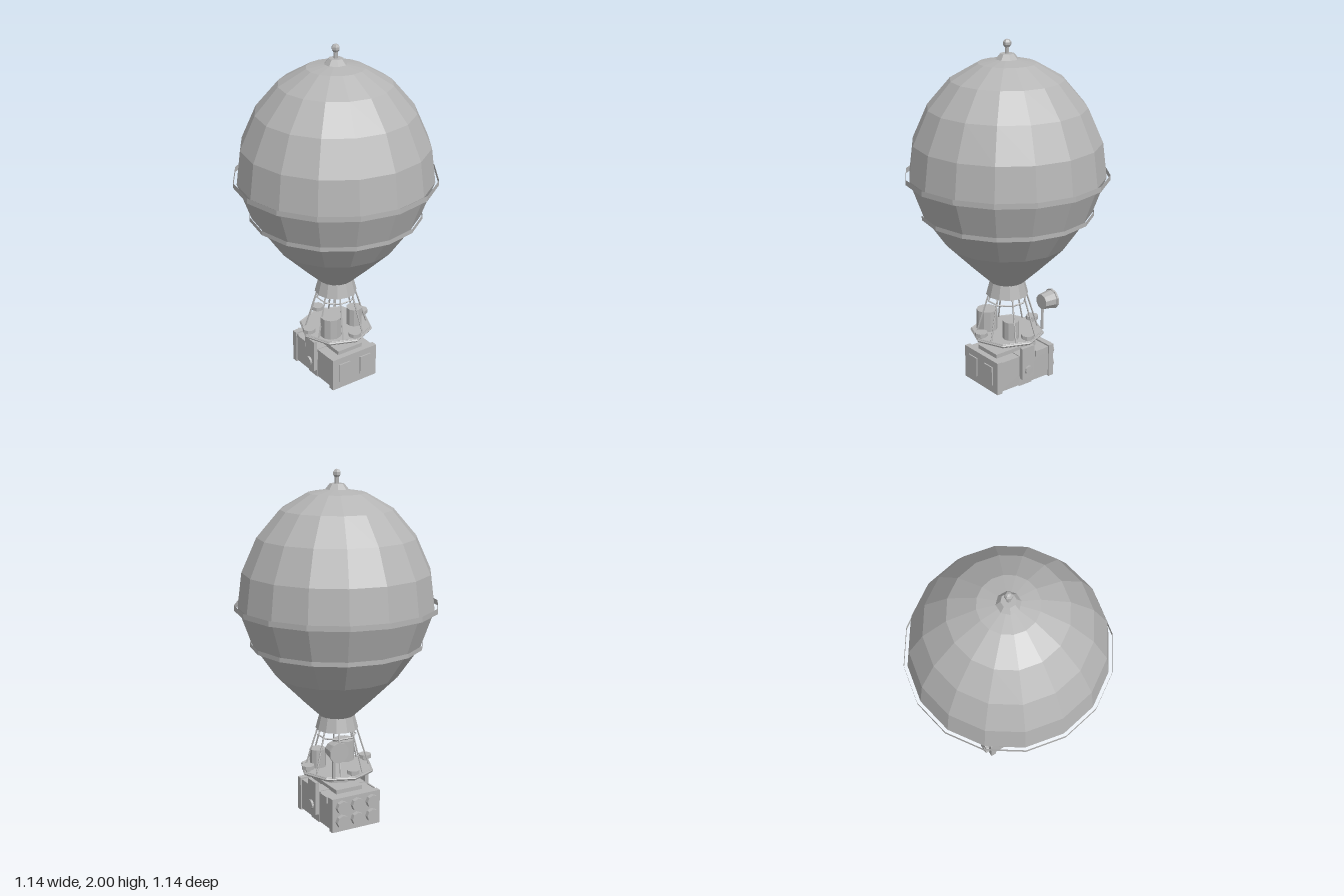
import * as THREE from 'three';

export function createModel() {
  const model = new THREE.Group();
  model.name = 'balloon';
  const grey = new THREE.MeshStandardMaterial({ color: 0xb5b5b5, flatShading: true, side: THREE.DoubleSide });
  grey.name = 'grey';

  const add = (name, geometry, x = 0, y = 0, z = 0, parent = model) => {
    const mesh = new THREE.Mesh(geometry, grey);
    mesh.name = name;
    mesh.position.set(x, y, z);
    parent.add(mesh);
    return mesh;
  };
  const box = (name, w, h, d, x, y, z) => add(name, new THREE.BoxGeometry(w, h, d), x, y, z);
  const cyl = (name, rTop, rBottom, y0, y1, sides, x = 0, z = 0, open = false) =>
    add(name, new THREE.CylinderGeometry(rTop, rBottom, y1 - y0, sides, 1, open), x, (y0 + y1) / 2, z);
  const rod = (name, a, b, r) => {
    const dir = new THREE.Vector3().subVectors(b, a);
    const mesh = add(name, new THREE.CylinderGeometry(r, r, dir.length(), 5));
    mesh.position.copy(a).add(b).multiplyScalar(0.5);
    mesh.quaternion.setFromUnitVectors(new THREE.Vector3(0, 1, 0), dir.normalize());
  };

  // Envelope with sixteen gores
  const profile = [[0.1, 0.615], [0.2, 0.71], [0.35, 0.86], [0.475, 1.04], [0.55, 1.25],
    [0.525, 1.445], [0.44, 1.635], [0.312, 1.785], [0.16, 1.873], [0, 1.9]];
  add('envelope', new THREE.LatheGeometry(profile.map(p => new THREE.Vector2(...p)), 16));

  // Open bands around the envelope
  cyl('upperBand', 0.57, 0.57, 1.233, 1.263, 16, 0, 0, true);
  cyl('lowerBand', 0.487, 0.487, 1.025, 1.05, 16, 0, 0, true);

  // Crown cap and finial
  cyl('crownCap', 0.04, 0.064, 1.892, 1.922, 8).rotation.y = Math.PI / 8;
  cyl('finialRod', 0.012, 0.012, 1.92, 1.965, 6);
  add('finialBall', new THREE.SphereGeometry(0.024, 6, 5), 0, 1.976, 0);

  // Neck skirt and hoop below it
  cyl('neckSkirt', 0.1, 0.122, 0.535, 0.618, 12, 0, 0, true);
  const hoop = add('ropeHoop', new THREE.TorusGeometry(0.11, 0.005, 4, 8), 0, 0.495, 0);
  hoop.rotation.set(Math.PI / 2, 0, Math.PI / 8);

  // Suspension ropes
  for (let i = 0; i < 8; i++) {
    const a = (i + 0.5) * Math.PI / 4;
    const at = (r, y) => new THREE.Vector3(r * Math.cos(a), y, r * Math.sin(a));
    rod('rope', at(0.088, 0.61), at(0.185, 0.3), 0.005);
  }

  // Octagonal deck with a rim and a turntable beneath
  cyl('deck', 0.212, 0.212, 0.285, 0.302, 8);
  const rim = add('deckRim', new THREE.TorusGeometry(0.205, 0.012, 5, 8), 0, 0.293, 0);
  rim.rotation.x = Math.PI / 2;
  cyl('turntable', 0.11, 0.11, 0.235, 0.287, 8);

  // Four hubs on the deck corners
  for (let i = 0; i < 4; i++) {
    const x = 0.188 * Math.cos(i * Math.PI / 2), z = 0.188 * Math.sin(i * Math.PI / 2);
    cyl('hubPost', 0.014, 0.014, 0.3, 0.322, 6, x, z);
    cyl('hubDisc', 0.037, 0.037, 0.318, 0.34, 8, x, z);
  }

  // Tanks on the deck
  cyl('largeTank', 0.062, 0.062, 0.3, 0.425, 10, -0.09, 0.078);
  cyl('smallTank', 0.047, 0.047, 0.3, 0.41, 10, 0.098, 0.05);

  // Rear lamp on a post
  cyl('lampPost', 0.009, 0.009, 0.3, 0.45, 6, 0.115, -0.17);
  const lamp = add('lamp', new THREE.CylinderGeometry(0.045, 0.055, 0.075, 10), 0.12, 0.475, -0.195);
  lamp.rotation.x = Math.PI / 2;
  const lampRim = add('lampRim', new THREE.CylinderGeometry(0.06, 0.06, 0.012, 10), 0.12, 0.475, -0.236);
  lampRim.rotation.x = Math.PI / 2;

  // Slung box with end frames and a roof plate
  box('boxBody', 0.296, 0.182, 0.4, 0, 0.1, -0.018);
  box('frontFrame', 0.31, 0.2, 0.035, 0, 0.1, 0.174);
  box('rearFrame', 0.31, 0.2, 0.035, 0, 0.1, -0.207);
  box('middleFrame', 0.304, 0.19, 0.09, 0, 0.1, -0.018);
  box('roofPlate', 0.17, 0.03, 0.29, 0, 0.2, 0);
  cyl('swivelPost', 0.05, 0.05, 0.2, 0.245, 8);

  for (const s of [-1, 1]) {
    // Front windows, side straps with pivots, and side panels
    box('frontWindow', 0.076, 0.115, 0.009, s * 0.073, 0.103, 0.195);
    box('sideStrap', 0.022, 0.195, 0.09, s * 0.164, 0.151, -0.018);
    const pivot = add('strapPivot', new THREE.CylinderGeometry(0.027, 0.027, 0.02, 10), s * 0.178, 0.105, -0.018);
    pivot.rotation.z = Math.PI / 2;
    box('sidePanel', 0.009, 0.037, 0.075, s * 0.154, 0.176, -0.127);
  }

  // Six knobs on the rear, in two rows
  for (const x of [-0.097, 0, 0.097]) {
    for (const y of [0.063, 0.148]) {
      const knob = add('rearKnob', new THREE.CylinderGeometry(0.038, 0.038, 0.03, 8), x, y, -0.235);
      knob.rotation.x = Math.PI / 2;
    }
  }
  return model;
}
